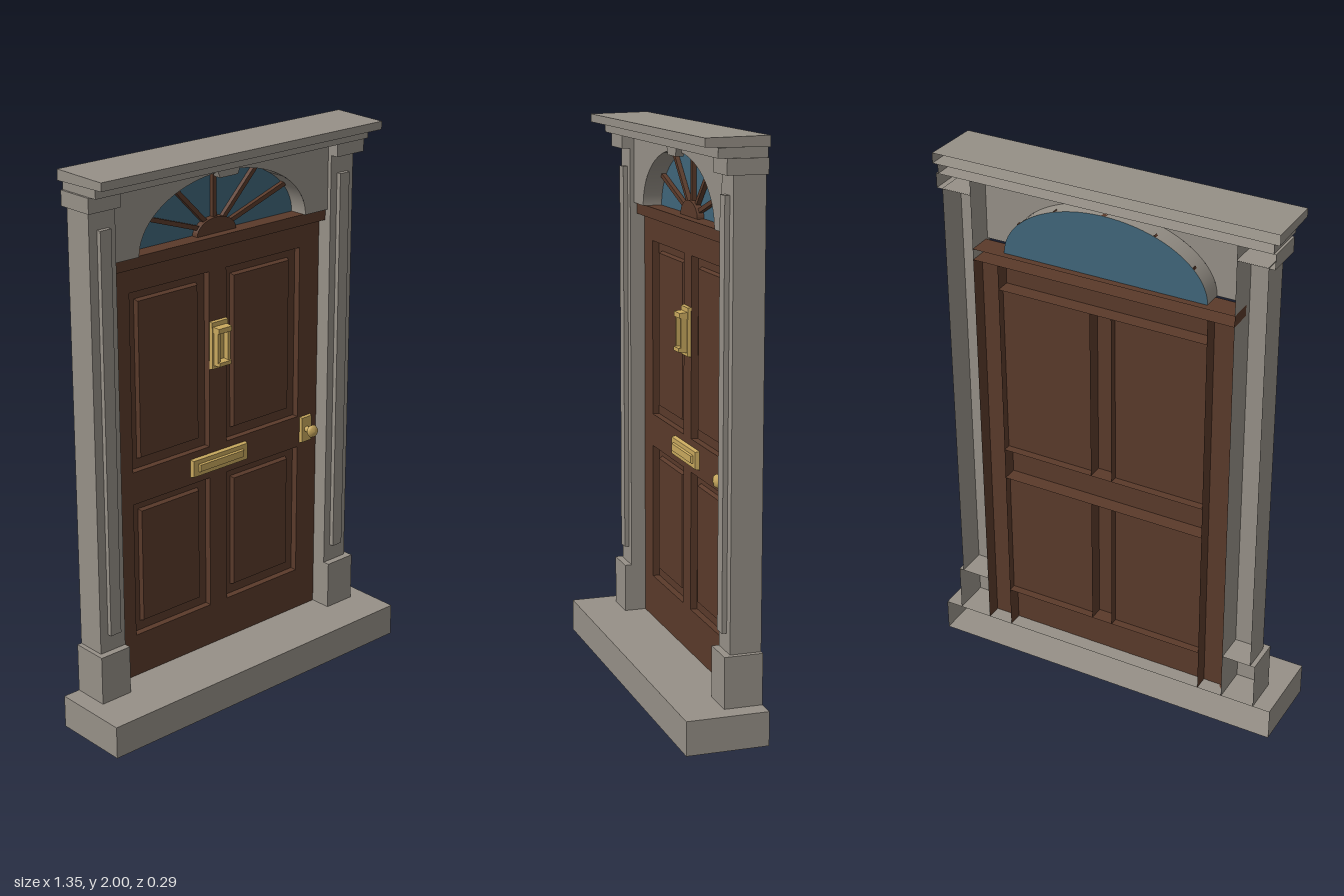
import * as THREE from 'three';

const mat = (name, color) => {
  const m = new THREE.MeshStandardMaterial({ color, side: THREE.DoubleSide });
  m.name = name;
  return m;
};

export function createModel() {
  const model = new THREE.Group();
  model.name = 'frontDoor';
  const stone = mat('stone', 0x969087);
  const wood = mat('brownWood', 0x5a3a2a);
  const glass = mat('blueGlass', 0x40667a);
  const brass = mat('brass', 0xc9a95e);
  const BACK = -0.145, DOOR = -0.09, PANEL = -0.115, GLASS = -0.12, SPRING = 1.68;

  const add = (name, geo, material, parent = model) => {
    const mesh = new THREE.Mesh(geo, material);
    mesh.name = name;
    parent.add(mesh);
    return mesh;
  };
  // Shell with an open back; taper shrinks the front face for a chamfer
  const shell = (name, material, x0, x1, y0, y1, z0, z1, taper = 0) => {
    const w = x1 - x0, h = y1 - y0;
    const geo = new THREE.BoxGeometry(w, h, z1 - z0);
    geo.setIndex(Array.from(geo.index.array).slice(0, 30));
    geo.clearGroups();
    const p = geo.attributes.position;
    for (let i = 0; i < p.count; i++) {
      if (p.getZ(i) > 0) p.setXY(i, p.getX(i) * (1 - 2 * taper / w), p.getY(i) * (1 - 2 * taper / h));
    }
    geo.computeVertexNormals();
    geo.translate((x0 + x1) / 2, (y0 + y1) / 2, (z0 + z1) / 2);
    return add(name, geo, material);
  };
  // The same shell on both sides
  const pair = (name, material, x0, x1, ...rest) => {
    shell(name + 'Left', material, x0, x1, ...rest);
    shell(name + 'Right', material, -x1, -x0, ...rest);
  };

  // Step, pilasters and cornice
  shell('step', stone, -0.675, 0.675, 0, 0.12, BACK, 0.145);
  pair('plinth', stone, 0.485, 0.61, 0.12, 0.3, BACK, -0.01);
  pair('pilaster', stone, 0.485, 0.593, 0.3, 1.88, BACK, -0.035);
  pair('pilasterStrip', stone, 0.515, 0.56, 0.365, 1.81, -0.035, -0.018);
  pair('capital', stone, 0.485, 0.615, 1.877, 1.93, BACK, -0.005);
  shell('corniceLower', stone, -0.607, 0.607, 1.93, 1.963, BACK, 0.022);
  shell('corniceTop', stone, -0.627, 0.627, 1.963, 2, BACK, 0.072, 0.004);

  // Stone face over the door, cut by an elliptical arch
  const RX = 0.377, RY = 0.225, FACE = -0.05;
  const face = new THREE.Shape();
  face.moveTo(0.485, SPRING);
  face.lineTo(0.485, 1.93);
  face.lineTo(-0.485, 1.93);
  face.lineTo(-0.485, SPRING);
  face.lineTo(-RX, SPRING);
  face.absellipse(0, SPRING, RX, RY, Math.PI, 0, true);
  face.closePath();
  add('archFace', new THREE.ShapeGeometry(face, 32), stone).position.z = FACE;

  // Arch reveal: a half cylinder stretched to the ellipse
  const reveal = new THREE.CylinderGeometry(1, 1, FACE - GLASS, 40, 1, true, Math.PI / 2, Math.PI);
  reveal.rotateX(Math.PI / 2);
  reveal.scale(RX, RY, 1);
  reveal.translate(0, SPRING, (FACE + GLASS) / 2);
  add('archReveal', reveal, stone);

  const keystone = new THREE.Shape([[-0.04, 1.89], [0.04, 1.89], [0.057, 1.93], [-0.057, 1.93]]
    .map(([x, y]) => new THREE.Vector2(x, y)));
  add('keystone', new THREE.ExtrudeGeometry(keystone, { depth: 0.03, bevelEnabled: false }), stone)
    .position.z = FACE - 0.01;

  // Fanlight glass, hub and radiating bars
  const halfEllipse = (rx, ry) => {
    const s = new THREE.Shape();
    s.absellipse(0, SPRING, rx, ry, 0, Math.PI, false);
    s.closePath();
    return s;
  };
  add('fanlightGlass', new THREE.ShapeGeometry(halfEllipse(RX, RY), 32), glass).position.z = GLASS;
  add('fanlightHub', new THREE.ExtrudeGeometry(halfEllipse(0.088, 0.056), { depth: 0.025, bevelEnabled: false }), wood)
    .position.z = GLASS + 0.002;
  for (let i = 1; i <= 5; i++) {
    const a = i * Math.PI / 6;
    const from = new THREE.Vector2(0.07 * Math.cos(a), 0.045 * Math.sin(a));
    const to = new THREE.Vector2(RX * Math.cos(a), RY * Math.sin(a));
    const bar = add('fanlightBar' + i, new THREE.BoxGeometry(from.distanceTo(to), 0.016, 0.016), wood);
    bar.position.set((from.x + to.x) / 2, SPRING + (from.y + to.y) / 2, GLASS + 0.01);
    bar.rotation.z = to.sub(from).angle();
  }

  // Door frame members
  shell('transom', wood, -0.485, 0.485, 1.64, SPRING, BACK, -0.06);
  pair('stile', wood, 0.39, 0.484, 0.12, 1.64, BACK, DOOR);
  shell('topRail', wood, -0.39, 0.39, 1.55, 1.64, BACK, DOOR);
  shell('middleRail', wood, -0.39, 0.39, 0.785, 0.905, BACK, DOOR);
  shell('bottomRail', wood, -0.39, 0.39, 0.12, 0.28, BACK, DOOR);
  shell('upperMullion', wood, -0.04, 0.04, 0.905, 1.55, BACK, DOOR);
  shell('lowerMullion', wood, -0.04, 0.04, 0.28, 0.785, BACK, DOOR);

  // Four recessed panels with raised fields
  for (const [row, y0, y1] of [['upper', 0.905, 1.55], ['lower', 0.28, 0.785]]) {
    for (const side of [-1, 1]) {
      const panel = add(row + 'Panel', new THREE.PlaneGeometry(0.35, y1 - y0), wood);
      panel.position.set(side * 0.215, (y0 + y1) / 2, PANEL);
    }
    pair(row + 'PanelField', wood, 0.078, 0.352, y0 + 0.036, y1 - 0.034, PANEL, -0.1, 0.006);
  }

  // Letter plate
  shell('letterPlate', brass, -0.13, 0.13, 0.813, 0.88, DOOR, -0.075, 0.003);
  shell('letterFlap', brass, -0.105, 0.105, 0.832, 0.861, -0.075, -0.066, 0.002);

  // Knocker: plate, hinge block and rectangular ring
  shell('knockerPlate', brass, -0.038, 0.038, 1.195, 1.37, DOOR, -0.078, 0.002);
  shell('knockerHinge', brass, -0.032, 0.032, 1.33, 1.352, -0.078, -0.05, 0.002);
  pair('knockerArm', brass, 0.018, 0.029, 1.222, 1.332, -0.078, -0.056);
  shell('knockerStriker', brass, -0.029, 0.029, 1.21, 1.228, -0.078, -0.048, 0.002);

  // Knob on its plate
  shell('knobPlate', brass, 0.4, 0.452, 0.8, 0.9, DOOR, -0.078, 0.002);
  const knobProfile = [[0.011, 0], [0.011, 0.016], [0.02, 0.022], [0.024, 0.031], [0.019, 0.04], [0, 0.044]]
    .map(([r, y]) => new THREE.Vector2(r, y));
  const knob = new THREE.LatheGeometry(knobProfile, 24);
  knob.rotateX(Math.PI / 2);
  add('knob', knob, brass).position.set(0.426, 0.85, -0.078);

  return model;
}
